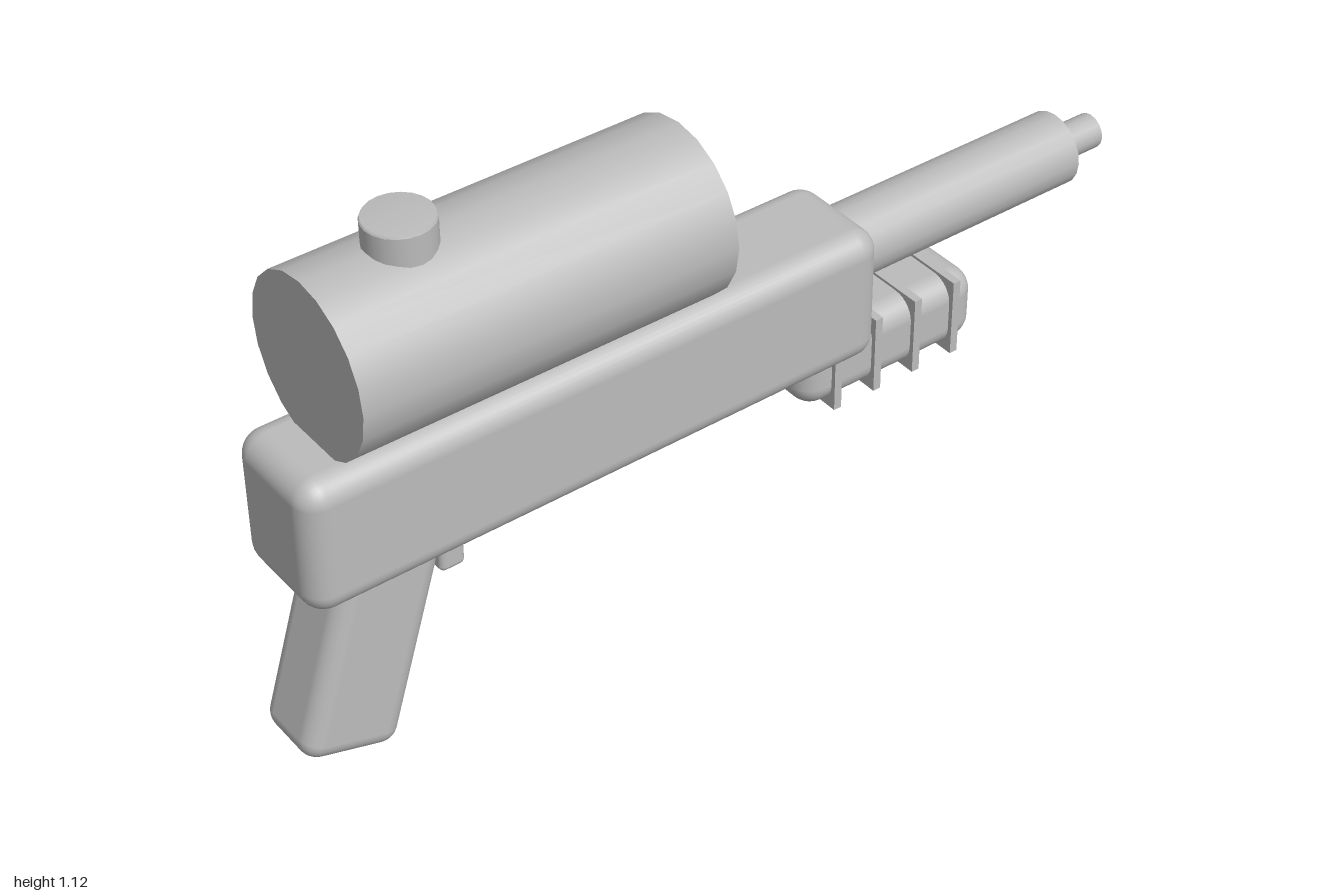
import * as THREE from 'three';
import { RoundedBoxGeometry } from 'three/addons/geometries/RoundedBoxGeometry.js';

const grey = new THREE.MeshStandardMaterial({ color: 0xbbbbbb });
grey.name = 'greyPlastic';

export function createModel() {
  const group = new THREE.Group();
  group.name = 'waterBlaster';

  const add = (name, geometry, x, y, z, parent = group) => {
    const mesh = new THREE.Mesh(geometry, grey);
    mesh.name = name;
    mesh.position.set(x, y, z);
    parent.add(mesh);
    return mesh;
  };

  // Cylinder along z between two depths, with a vertex on each side
  const tube = (name, radius, y, z0, z1, sides) => {
    const geometry = new THREE.CylinderGeometry(radius, radius, z1 - z0, sides);
    geometry.rotateX(Math.PI / 2);
    return add(name, geometry, 0, y, (z0 + z1) / 2);
  };

  // Main body
  add('body', new RoundedBoxGeometry(0.25, 0.3, 1.315, 4, 0.05), 0, 0.57, 0.3225);

  // Water tank with filler cap
  tube('tank', 0.182, 0.887, 0.07, 0.88, 20);
  const capProfile = [[0, -0.06], [0.07, -0.06], [0.07, 0.053], [0.067, 0.06], [0, 0.06]]
    .map(([r, y]) => new THREE.Vector2(r, y));
  const capBody = new THREE.CylinderGeometry(0.07, 0.07, 0.113, 20);
  add('fillerCap', capBody, 0, 1.0595, 0.675);
  add('fillerCapRim', new THREE.LatheGeometry(capProfile.slice(2), 20), 0, 1.062, 0.675);

  // Barrel and nozzle
  tube('barrel', 0.08, 0.622, -0.895, -0.28, 20);
  tube('nozzle', 0.038, 0.622, -1.0, -0.86, 16);

  // Ribbed pump under the barrel
  const pump = new THREE.Group();
  pump.name = 'pump';
  group.add(pump);
  add('pumpGrip', new RoundedBoxGeometry(0.2, 0.164, 0.45, 4, 0.05), 0, 0.408, -0.39, pump);
  for (let i = 0; i < 4; i++) {
    add('pumpRib', new THREE.BoxGeometry(0.22, 0.176, 0.018), 0, 0.408, -0.24 - i * 0.102, pump);
  }

  // Slanted handle and trigger
  const handle = add('handle', new RoundedBoxGeometry(0.17, 0.5, 0.215, 3, 0.04), 0, 0.2605, 0.8334);
  handle.rotation.x = -0.3;
  add('trigger', new RoundedBoxGeometry(0.06, 0.16, 0.056, 2, 0.012), 0, 0.385, 0.627);

  return group;
}
